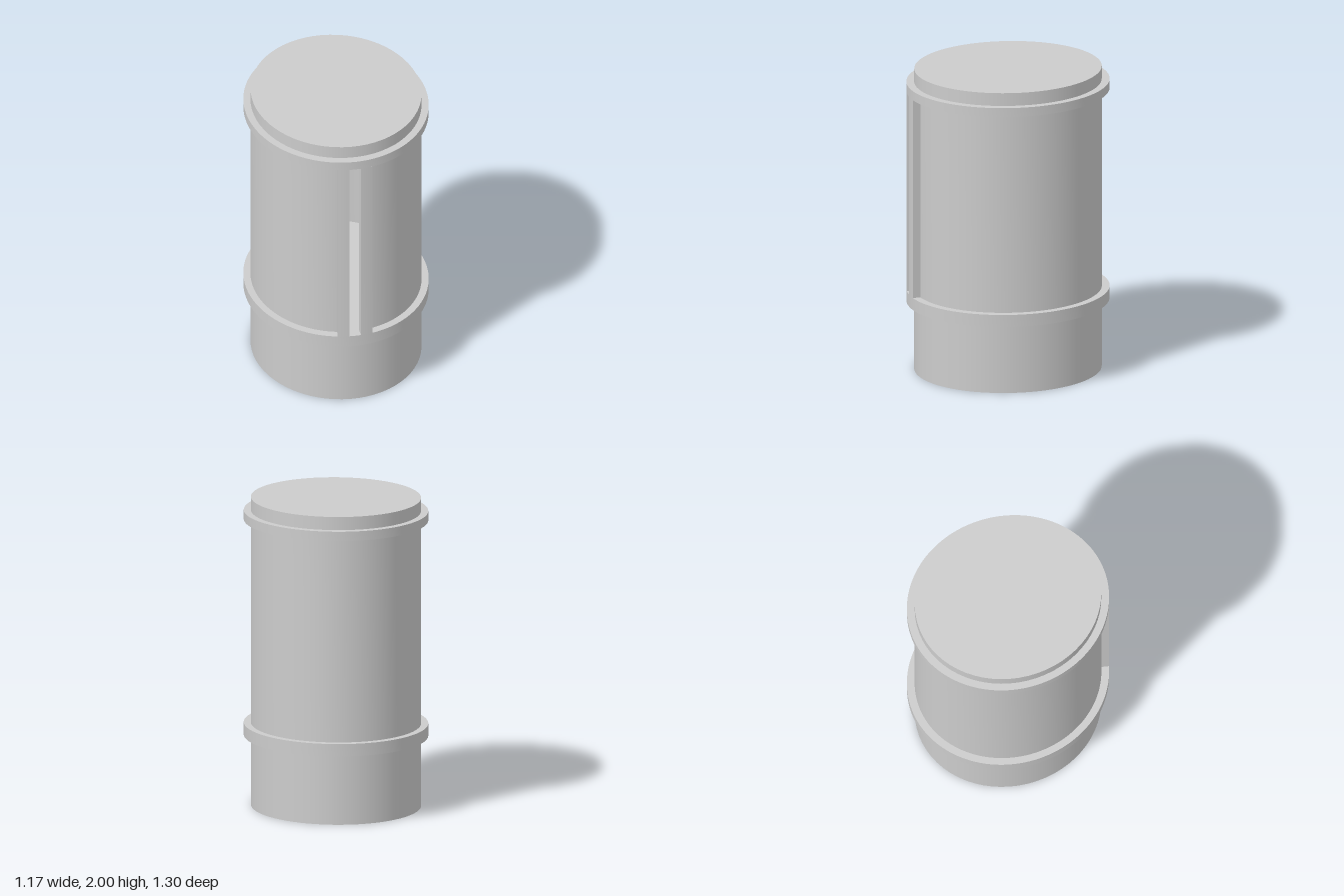
import * as THREE from 'three';
import { toCreasedNormals } from 'three/addons/utils/BufferGeometryUtils.js';

const RX = 0.54, RZ = 0.6, RIM = 1.083; // oval radii, and rim size relative to the drum
const FLOOR = 0.535, CEILING = 1.855;   // span of the hollow middle section

export function createModel() {
  const group = new THREE.Group();
  const material = new THREE.MeshStandardMaterial({ color: 0xcccccc });

  const add = (name, geometry) => {
    const mesh = new THREE.Mesh(geometry, material);
    mesh.name = name;
    group.add(mesh);
  };

  // Solid oval drum between two heights
  const drum = (name, y0, y1) => {
    const g = new THREE.CylinderGeometry(1, 1, y1 - y0, 64);
    g.translate(0, (y0 + y1) / 2, 0).scale(RX, 1, RZ);
    add(name, g);
  };

  // Oval band between two relative radii; angles run from the front towards +x
  const band = (name, y0, y1, inner, outer, from = 0, to = Math.PI * 2) => {
    const a0 = from - Math.PI / 2, a1 = to - Math.PI / 2;
    const full = to - from > 6.28;
    const shape = new THREE.Shape();
    shape.absarc(0, 0, outer, a0, a1, false);
    if (full) {
      const hole = new THREE.Path();
      hole.absarc(0, 0, inner, a0, a1, true);
      shape.holes.push(hole);
    } else {
      shape.absarc(0, 0, inner, a1, a0, true);
      shape.closePath();
    }
    const g = new THREE.ExtrudeGeometry(shape, {
      depth: y1 - y0, bevelEnabled: false,
      curveSegments: Math.max(4, Math.round((to - from) * 64 / (Math.PI * 2))),
    });
    g.rotateX(-Math.PI / 2).translate(0, y0, 0);
    const smooth = toCreasedNormals(g, 0.5);
    smooth.scale(RX, 1, RZ);
    add(name, smooth);
  };

  const angleAt = (x, r) => Math.asin(x / (RX * r));

  // Base and cap
  drum('base', 0, FLOOR);
  drum('cap', CEILING, 2);

  // Thin middle wall, open at the slot in front
  band('wall', FLOOR, CEILING, 0.985, 1, 0, Math.PI * 2 + angleAt(-0.075, 1));

  // Projecting rims
  band('lowerRim', 0.455, FLOOR, 0.99, RIM);
  band('upperRim', CEILING, 1.915, 0.99, RIM);

  // Upright guide bars beside the slot
  for (const [name, x0, x1] of [['rightBar', -0.15, -0.075], ['leftBar', 0, 0.075]]) {
    band(name, FLOOR, CEILING, 0.99, RIM, angleAt(x0, RIM), angleAt(x1, RIM));
  }
  return group;
}
